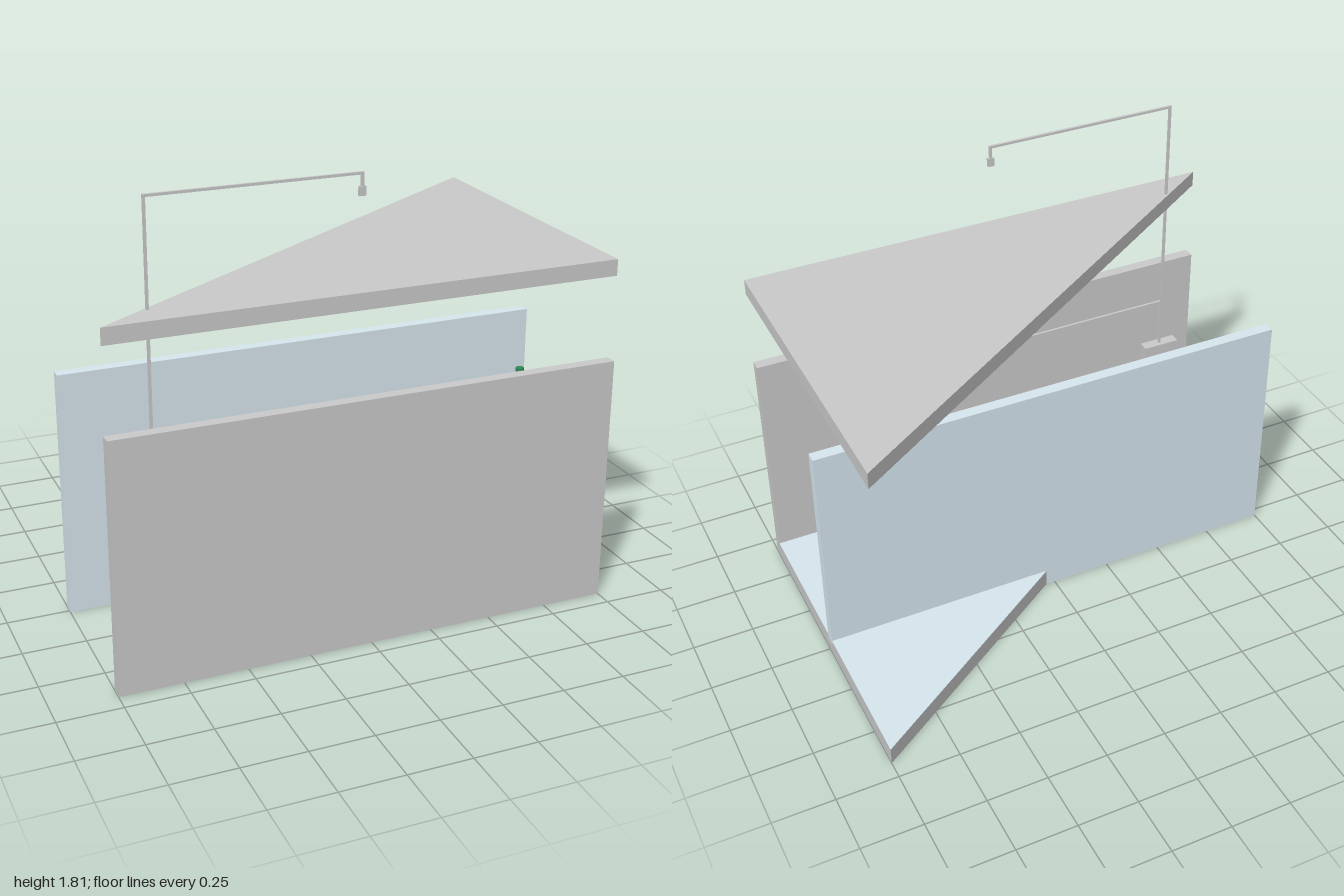
import * as THREE from 'three';

const grey = new THREE.MeshStandardMaterial({ color: 0xcccccc });
const paleBlue = new THREE.MeshStandardMaterial({ color: 0xd8e8f0 });
const red = new THREE.MeshStandardMaterial({ color: 0xe04030 });
const green = new THREE.MeshStandardMaterial({ color: 0x2e8b57 });

// Box given by its min and max corners
function box(name, [x0, y0, z0], [x1, y1, z1], material = grey) {
  const mesh = new THREE.Mesh(new THREE.BoxGeometry(x1 - x0, y1 - y0, z1 - z0), material);
  mesh.position.set((x0 + x1) / 2, (y0 + y1) / 2, (z0 + z1) / 2);
  mesh.name = name;
  return mesh;
}

// Horizontal right-triangle slab
function triangleSlab(name, y0, y1, material = grey) {
  const shape = new THREE.Shape([
    new THREE.Vector2(-1, -0.655),
    new THREE.Vector2(1, -0.655),
    new THREE.Vector2(1, 0.677),
  ]);
  const geometry = new THREE.ExtrudeGeometry(shape, { depth: y1 - y0, bevelEnabled: false });
  geometry.rotateX(-Math.PI / 2);
  const mesh = new THREE.Mesh(geometry, material);
  mesh.position.y = y0;
  mesh.name = name;
  return mesh;
}

export function createModel() {
  const model = new THREE.Group();
  model.name = 'pavilion';

  // Floor with a thin pale covering, and the roof of the same plan
  model.add(triangleSlab('floor', 0, 0.07));
  model.add(triangleSlab('floorCovering', 0.07, 0.075, paleBlue));
  model.add(triangleSlab('roof', 1.335, 1.4));

  // Two parallel walls
  model.add(box('frontWall', [-1, 0, 0.63], [1, 1, 0.677]));
  model.add(box('middleWall', [-1, 0, -0.036], [1, 1, 0.012], paleBlue));

  // Counterweight with a mast rising from it
  const z = 0.537, r = 0.005, mastX = -0.8;
  model.add(box('counterweight', [-0.88, 0.355, z - 0.023], [-0.72, 0.65, z + 0.023]));
  model.add(box('mast', [mastX - r, 0.6, z - r], [mastX + r, 1.805, z + r]));

  // Two arms, each with a drop rod and a hanging lamp
  const arms = [
    { name: 'upper', y: 1.8, dropEnd: 1.753, lampEnd: 1.718, half: 0.013, material: grey },
    { name: 'lower', y: 0.865, dropEnd: 0.42, lampEnd: 0.382, half: 0.013, material: red },
  ];
  for (const a of arms) {
    model.add(box(a.name + 'Arm', [mastX, a.y - r, z - r], [r, a.y + r, z + r]));
    model.add(box(a.name + 'DropRod', [-r, a.dropEnd, z - r], [r, a.y, z + r]));
    model.add(box(a.name + 'Lamp', [-a.half, a.lampEnd, z - 0.007], [a.half, a.dropEnd, z + 0.007], a.material));
  }

  // Small floating disc
  const disc = new THREE.Mesh(new THREE.CylinderGeometry(0.016, 0.016, 0.013, 16), green);
  disc.position.set(0.67, 0.967, z);
  disc.name = 'smallDisc';
  model.add(disc);

  return model;
}
